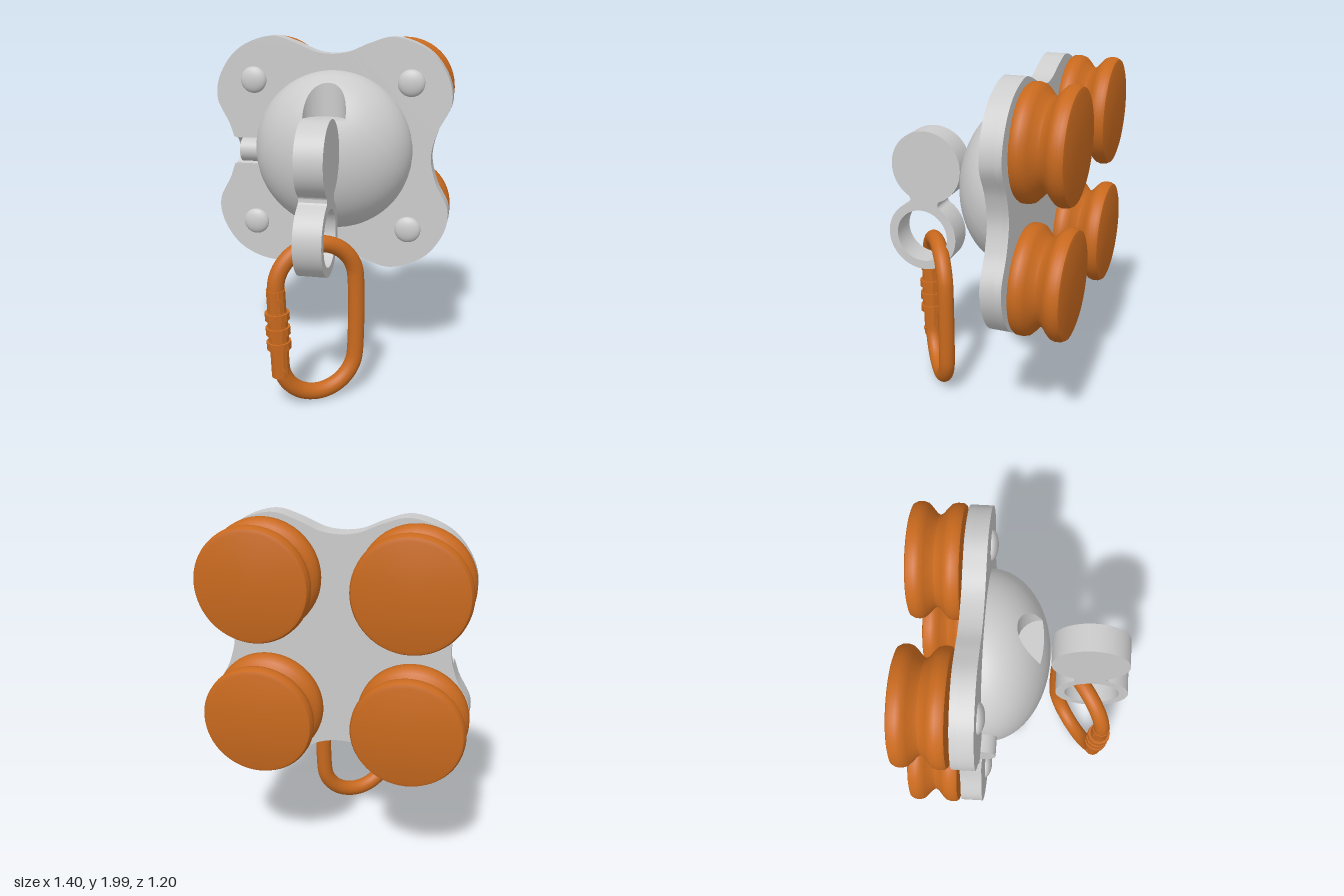
import * as THREE from 'three';
import { toCreasedNormals } from 'three/addons/utils/BufferGeometryUtils.js';

const grey = new THREE.MeshStandardMaterial({ color: 0xcccccc });
const orange = new THREE.MeshStandardMaterial({ color: 0xc8691e });
const V2 = (x, y) => new THREE.Vector2(x, y);
const V3 = (x, y, z) => new THREE.Vector3(x, y, z);

function add(parent, name, geometry, material, x = 0, y = 0, z = 0) {
  const mesh = new THREE.Mesh(geometry, material);
  mesh.name = name;
  mesh.position.set(x, y, z);
  parent.add(mesh);
  return mesh;
}

const extrude = (shape, depth) => toCreasedNormals(
  new THREE.ExtrudeGeometry(shape, { depth, bevelEnabled: false, curveSegments: 40 }), 0.5);

// Skin between closed rings of equal length, ordered from the inside out
function skin(rings) {
  const n = rings[0].length, index = [];
  for (let i = 0; i < rings.length - 1; i++) {
    for (let j = 0; j < n; j++) {
      const k = (j + 1) % n;
      const a = i * n + j, d = i * n + k, b = a + n, c = d + n;
      index.push(a, b, c, a, c, d);
    }
  }
  const geometry = new THREE.BufferGeometry().setFromPoints(rings.flat());
  geometry.setIndex(index);
  return toCreasedNormals(geometry, 0.6);
}

// Four-lobed plate outline, clockwise from the top notch
function plateOutline() {
  const quarter = [[0, 0.582], [0.1, 0.595], [0.22, 0.645], [0.36, 0.68], [0.56, 0.605],
    [0.675, 0.45], [0.695, 0.31], [0.62, 0.15], [0.587, 0]];
  const right = [...quarter, ...quarter.slice(0, -1).reverse().map(([x, y]) => [x, -y])];
  const left = right.slice(1, -1).reverse().map(([x, y]) => [-x, y]);
  const curve = new THREE.CatmullRomCurve3([...right, ...left].map(([x, y]) => V3(x, y, 0)), true);
  return curve.getPoints(180).slice(0, -1).map(p => V2(p.x, p.y));
}

function addPlate(group) {
  const h = 0.083, inner = -0.44, y = 1.32;
  const outline = plateOutline();
  add(group, 'plateBack', extrude(new THREE.Shape(outline), 0.035), grey, 0, y, -0.31);
  // Front layer has a slot on one side for the pin
  const isSlot = p => p.x < 0 && Math.abs(p.y) < h;
  const start = outline.findIndex(isSlot);
  const kept = outline.filter(p => !isSlot(p));
  kept.splice(start, 0, V2(-0.598, -h), V2(inner, -h), V2(inner, h), V2(-0.598, h));
  add(group, 'plateFront', extrude(new THREE.Shape(kept), 0.08), grey, 0, y, -0.275);
  // Rounded trough filling the slot
  const trough = new THREE.Shape();
  trough.moveTo(-h, 0);
  trough.lineTo(-h, -0.08);
  trough.lineTo(h, -0.08);
  trough.lineTo(h, 0);
  trough.absarc(0, 0, 0.078, 0, Math.PI, true);
  const geometry = extrude(trough, 0.147);
  geometry.applyMatrix4(new THREE.Matrix4().makeBasis(V3(0, 1, 0), V3(0, 0, 1), V3(1, 0, 0)));
  add(group, 'pinTrough', geometry, grey, -0.587, y, -0.195);
  add(group, 'sidePin', new THREE.CylinderGeometry(0.07, 0.07, 0.16, 32), grey, -0.46, 1.33, -0.19)
    .rotation.z = Math.PI / 2;
}

// Flattened dome with a round-backed pocket cut into its upper front
function domeGeometry() {
  const R = 0.465, D = 0.333, r = 0.122, floor = 0.22, n = 40;
  const height = (a, b) => Math.sqrt(1 - a * a - b * b);
  const zc = D * height(r / R, floor / R);
  const rim = [], base = [];
  for (let i = 0; i < n; i++) {
    const a = Math.PI * i / n, x = r * Math.cos(a), z = zc - r * Math.sin(a);
    rim.push(V3(x, R * height(x / R, z / D), z));
  }
  for (let i = 0; i < n; i++) {
    const x = -r + 2 * r * i / n;
    rim.push(V3(x, floor, D * height(x / R, floor / R)));
  }
  const floorRing = rim.map(p => V3(p.x, floor, p.z));
  const centre = rim.map(() => V3(0, floor, zc - 0.02));
  for (const p of rim) {
    const a = Math.atan2(p.y - 0.285, p.x);
    base.push(V3(Math.cos(a), Math.sin(a), 0));
  }
  // Great-circle steps from the rim to the base
  const rings = [centre, floorRing];
  for (let k = 0; k <= 28; k++) {
    rings.push(rim.map((p, j) => {
      const u = V3(p.x / R, p.y / R, p.z / D).normalize(), v = base[j];
      const w = Math.acos(u.dot(v)), t = k / 28;
      const q = u.multiplyScalar(Math.sin((1 - t) * w)).addScaledVector(v, Math.sin(t * w));
      return q.normalize().multiply(V3(R, R, D));
    }));
  }
  return skin(rings);
}

// Figure-eight lever with a solid upper eye and an open lower ring
function leverGeometry() {
  const r = 0.21, f = 0.029, d = 0.114, a = Math.atan2(r, d), P = Math.PI;
  const s = new THREE.Shape();
  s.absarc(0, r, r, -a, P + a, false);
  s.absarc(-d, 0, f, a, -a, true);
  s.absarc(0, -r, r, P - a, 2 * P + a, false);
  s.absarc(d, 0, f, P + a, P - a, true);
  s.holes.push(new THREE.Path().absarc(0, -r, 0.157, 0, 2 * P, true));
  return extrude(s, 0.155);
}

function addWheels(group) {
  const points = [[0, 0], [0.27, 0], [0.288, 0.006], [0.298, 0.025], [0.3, 0.05], [0.293, 0.073],
    [0.275, 0.092], [0.245, 0.118], [0.234, 0.137], [0.245, 0.156], [0.275, 0.182], [0.293, 0.2],
    [0.3, 0.225], [0.299, 0.255], [0.29, 0.268], [0.28, 0.27], [0, 0.27]].map(p => V2(...p));
  const profile = toCreasedNormals(new THREE.LatheGeometry(points, 64), 0.7);
  profile.rotateX(Math.PI / 2);
  for (const x of [-0.405, 0.387]) {
    for (const y of [0.95, 1.685]) {
      add(group, 'wheel', profile, orange, x, y, -0.6);
      add(group, 'wheelHub', new THREE.CylinderGeometry(0.075, 0.075, 0.05, 32), orange, x, y, -0.32)
        .rotation.x = Math.PI / 2;
    }
  }
}

function addSnapHook(group) {
  const hook = new THREE.Group();
  hook.name = 'snapHook';
  hook.position.set(0.03, 0, 0.338);
  hook.rotation.y = 0.615;
  group.add(hook);

  // Oval loop, slightly narrower at the bottom
  const path = [];
  for (let i = 0; i <= 10; i++) {
    const a = Math.PI * i / 10;
    path.push(V3(0.2385 * Math.cos(a), 0.7 + 0.228 * Math.sin(a), 0));
  }
  for (let i = 0; i <= 10; i++) {
    const a = Math.PI * (1 + i / 10);
    path.push(V3(0.0125 + 0.226 * Math.cos(a), 0.27 + 0.218 * Math.sin(a), 0));
  }
  const curve = new THREE.CatmullRomCurve3(path, true);
  add(hook, 'hookLoop', new THREE.TubeGeometry(curve, 160, 0.047, 20, true), orange);

  // Locking gate with collars, grip rings and rivets
  const gate = new THREE.Group();
  gate.name = 'gate';
  gate.position.set(-0.226, 0.445, 0);
  gate.rotation.z = 0.05;
  hook.add(gate);
  const sleeve = (name, y0, y1, r) => add(gate, name,
    toCreasedNormals(new THREE.CylinderGeometry(r, r, y1 - y0, 12), 0.4), orange, 0, (y0 + y1) / 2, 0);
  sleeve('gateTopCollar', 0.13, 0.255, 0.053);
  sleeve('gateSleeve', -0.1, 0.13, 0.057);
  sleeve('gateBottomCollar', -0.255, -0.1, 0.052);
  for (const y of [0.105, 0.02, -0.065]) sleeve('gripRing', y - 0.021, y + 0.021, 0.069);
  for (const y of [0.205, -0.21]) {
    add(gate, 'rivet', new THREE.CylinderGeometry(0.013, 0.013, 0.112, 12), orange, 0, y, 0)
      .rotation.x = Math.PI / 2;
  }
}

export function createModel() {
  const group = new THREE.Group();
  group.name = 'wheeledHanger';
  addPlate(group);
  add(group, 'dome', domeGeometry(), grey, 0.015, 1.345, -0.195);

  // Rounded bolt heads
  const cap = new THREE.SphereGeometry(1, 32, 12, 0, Math.PI * 2, 0, Math.PI / 2);
  cap.rotateX(Math.PI / 2);
  for (const x of [-0.468, 0.463]) {
    for (const y of [0.882, 1.745]) {
      add(group, 'boltHead', cap, grey, x, y, -0.195).scale.set(0.078, 0.078, 0.035);
    }
  }

  add(group, 'lever', leverGeometry(), grey, -0.04, 1.19, 0.3725)
    .rotation.set(0, Math.PI / 2, -0.083);
  addWheels(group);
  addSnapHook(group);
  return group;
}
